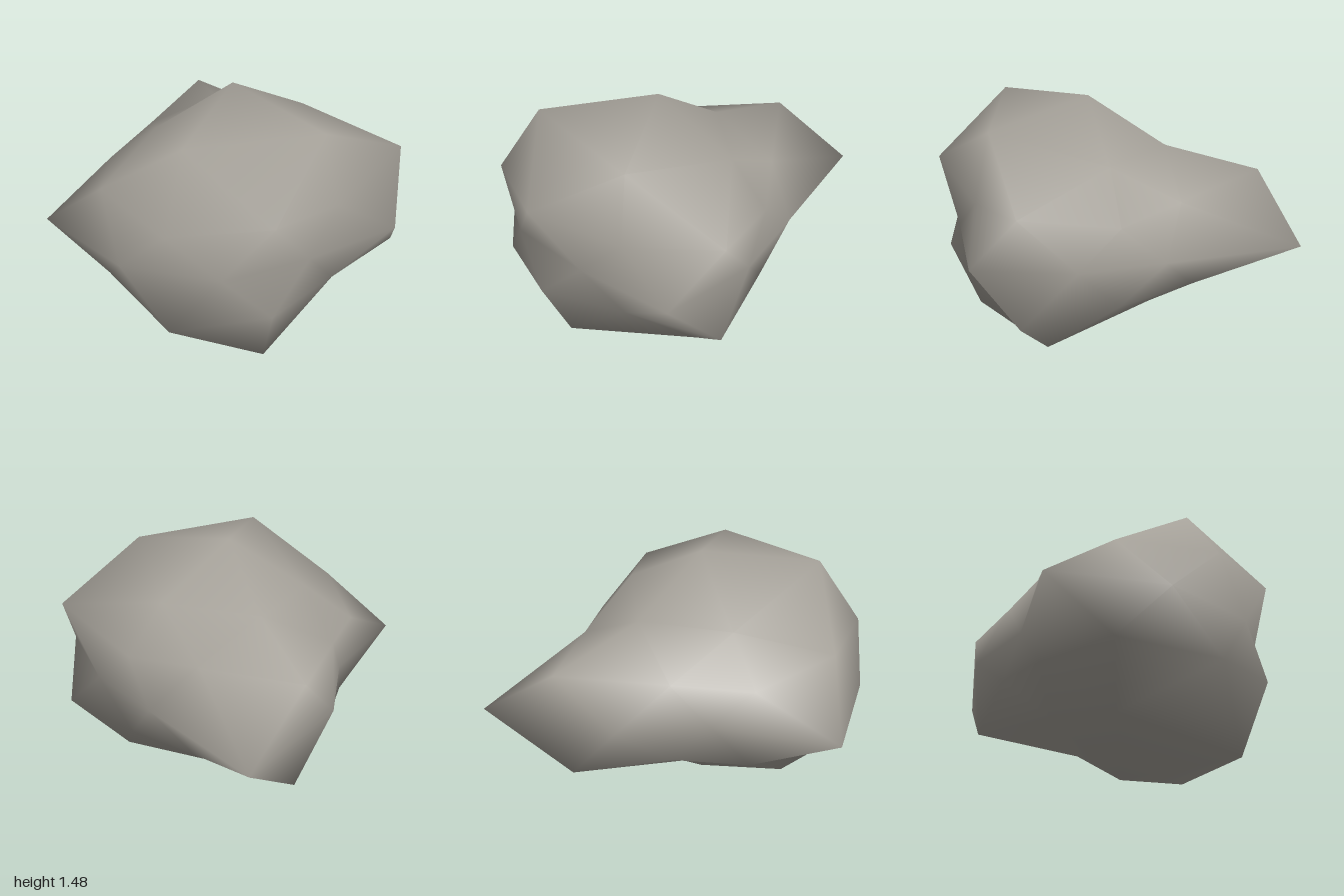
import * as THREE from 'three';

const CENTER = new THREE.Vector3(-0.06, 0.74, 0.05);
const FLATTEN = 0.6; // vertical squash of the whole boulder

// Rings of a once-subdivided icosahedron: elevation, first azimuth, step (degrees), bump radii
const RINGS = {
  top: [90, 0, 0, [1.233]],
  cap: [58.283, 18, 72, [1.29, 1.236, 0.94, 0.87, 0.86]],
  shoulder: [26.565, 18, 72, [1.047, 0.844, 0.81, 1.134, 0.83]],
  shoulderMid: [31.717, 54, 72, [1.067, 1.15, 0.80, 0.81, 1.0]],
  waist: [0, 0, 36, [0.95, 0.87, 0.79, 1.0, 0.81, 0.81, 1.30, 0.88, 0.68, 1.12]],
  footMid: [-31.717, 18, 72, [1.10, 0.87, 0.85, 1.105, 0.83]],
  foot: [-26.565, 54, 72, [0.98, 1.09, 0.87, 0.78, 0.95]],
  base: [-58.283, 54, 72, [1.34, 1.20, 0.91, 0.80, 1.08]],
  bottom: [-90, 0, 0, [1.233]],
};

function boulderGeometry() {
  const positions = [];
  const start = {};
  for (const [name, [elevation, first, step, radii]] of Object.entries(RINGS)) {
    start[name] = positions.length / 3;
    radii.forEach((r, i) => {
      const el = THREE.MathUtils.degToRad(elevation);
      const az = THREE.MathUtils.degToRad(first + step * i);
      positions.push(
        CENTER.x + r * Math.cos(el) * Math.sin(az),
        CENTER.y + r * Math.sin(el) * FLATTEN,
        CENTER.z + r * Math.cos(el) * Math.cos(az)
      );
    });
  }
  const id = (name, i = 0) => {
    const count = RINGS[name][3].length;
    return start[name] + ((i + count) % count);
  };

  // Five identical sectors of sixteen triangles
  const index = [];
  for (let k = 0; k < 5; k++) {
    const n = k + 1;
    const T = id('top'), B = id('bottom');
    const c = id('cap', k), cN = id('cap', n);
    const s = id('shoulder', k), sN = id('shoulder', n), sm = id('shoulderMid', k);
    const w0 = id('waist', 2 * k), w1 = id('waist', 2 * k + 1), w2 = id('waist', 2 * k + 2);
    const fP = id('foot', k - 1), f = id('foot', k), fN = id('foot', n);
    const fm = id('footMid', k), fmN = id('footMid', n);
    const b = id('base', k), bN = id('base', n);
    index.push(
      T, c, cN, c, s, sm, c, sm, cN, cN, sm, sN, // upper cap
      s, w1, sm, sm, w1, w2, sm, w2, sN, w1, f, w2, // band, pointing down
      s, w0, w1, w0, fP, fm, w0, fm, w1, w1, fm, f, // band, pointing up
      B, bN, b, f, b, fmN, b, bN, fmN, bN, fN, fmN // underside
    );
  }

  const geometry = new THREE.BufferGeometry();
  geometry.setAttribute('position', new THREE.Float32BufferAttribute(positions, 3));
  geometry.setIndex(index);
  geometry.computeVertexNormals(); // smooth shading
  return geometry;
}

export function createModel() {
  const group = new THREE.Group();
  group.name = 'rock';
  const stone = new THREE.MeshStandardMaterial({ color: 0xa5a199 });
  stone.name = 'stone grey';
  const boulder = new THREE.Mesh(boulderGeometry(), stone);
  boulder.name = 'boulder';
  group.add(boulder);
  return group;
}
